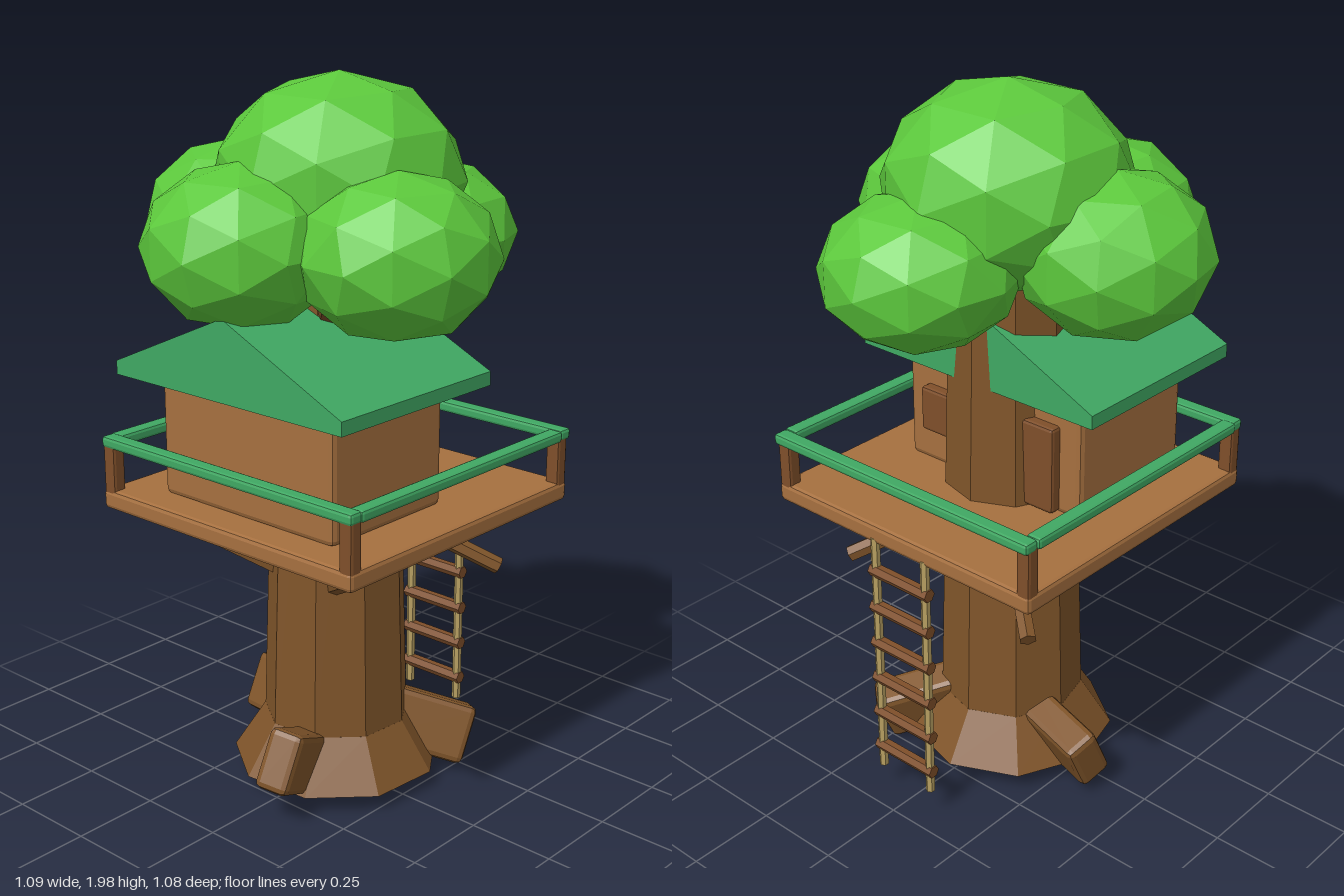
import * as THREE from 'three';
import { RoundedBoxGeometry } from 'three/addons/geometries/RoundedBoxGeometry.js';

function paint(name, color) {
  const m = new THREE.MeshStandardMaterial({ color, flatShading: true });
  m.name = name;
  return m;
}

export function createModel() {
  const bark = paint('bark brown', 0x80552a);
  const darkWood = paint('dark wood', 0x7f4f2a);
  const planks = paint('plank brown', 0xa6703f);
  const green = paint('painted green', 0x40a863);
  const leaf = paint('leaf green', 0x5cc83c);
  const rope = paint('rope tan', 0xb8a062);

  const model = new THREE.Group();
  const add = (name, geo, mat, x, y, z, parent = model) => {
    const mesh = new THREE.Mesh(geo, mat);
    mesh.name = name;
    mesh.position.set(x, y, z);
    parent.add(mesh);
    return mesh;
  };
  // box with chamfered edges
  const box = (w, h, d, bevel = 0.01) => new RoundedBoxGeometry(w, h, d, 1, bevel);
  // round bar between two points
  const bar = (name, a, b, r, sides, mat) => {
    const p = new THREE.Vector3(...a), q = new THREE.Vector3(...b);
    const dir = q.clone().sub(p);
    const mid = p.clone().add(q).multiplyScalar(0.5);
    const mesh = add(name, new THREE.CylinderGeometry(r, r, dir.length(), sides), mat, mid.x, mid.y, mid.z);
    mesh.quaternion.setFromUnitVectors(new THREE.Vector3(0, 1, 0), dir.normalize());
    return mesh;
  };

  // trunk with flared foot
  const phase = THREE.MathUtils.degToRad(-15);
  const trunk = add('trunk', new THREE.CylinderGeometry(0.165, 0.206, 1.32, 9), bark, 0, 0.86, 0);
  const foot = add('trunkFoot', new THREE.CylinderGeometry(0.206, 0.295, 0.14, 9), bark, 0, 0.138, 0);
  trunk.rotation.y = foot.rotation.y = phase;

  // three roots, all leaning the same way
  for (let i = 0; i < 3; i++) {
    const a = THREE.MathUtils.degToRad(16 + i * 120);
    const root = add('root', box(0.1, 0.17, 0.29, 0.018), bark, Math.sin(a) * 0.24, 0.15, Math.cos(a) * 0.24);
    root.rotation.set(-0.45, a, 0);
  }

  // upper branches reaching into the crown
  for (let i = 0; i < 3; i++) {
    const a = THREE.MathUtils.degToRad(40 + i * 120);
    const dir = new THREE.Vector3(Math.sin(a), 0, Math.cos(a))
      .applyAxisAngle(new THREE.Vector3(1, 0, 0), -0.55);
    const c = new THREE.Vector3(Math.sin(a) * 0.14, 1.42, Math.cos(a) * 0.14);
    const p = c.clone().addScaledVector(dir, -0.12), q = c.clone().addScaledVector(dir, 0.12);
    bar('branch', p.toArray(), q.toArray(), 0.055, 6, darkWood);
  }

  // struts below the platform
  for (const s of [-1, 1]) {
    bar('frontStrut', [s * 0.11, 0.65, 0.13], [s * 0.33, 0.785, 0.3], 0.024, 6, bark);
    bar('backStrut', [s * 0.11, 0.78, -0.13], [s * 0.33, 0.635, -0.31], 0.024, 6, bark);
  }

  // platform and railing
  add('platform', box(0.9, 0.055, 0.9, 0.012), planks, 0, 0.853, 0);
  for (const s of [-1, 1]) {
    for (const t of [-1, 1]) add('railPost', box(0.042, 0.18, 0.042, 0.009), darkWood, s * 0.427, 0.925, t * 0.427);
    add('railLong', box(0.9, 0.032, 0.045, 0.009), green, 0, 1.016, s * 0.432 - 0.004);
    add('railSide', box(0.045, 0.032, 0.83, 0.009), green, s * 0.432, 1.016, 0);
  }

  // cabin
  const cabin = new THREE.Group();
  cabin.name = 'cabin';
  model.add(cabin);
  add('walls', box(0.61, 0.335, 0.43, 0.016), planks, 0, 1.045, 0.14, cabin);
  add('door', box(0.12, 0.25, 0.04, 0.009), darkWood, -0.175, 1.01, -0.087, cabin);
  add('shutter', box(0.12, 0.13, 0.04, 0.009), darkWood, 0.175, 1.05, -0.087, cabin);

  // gable roof
  const gable = new THREE.Shape([[-0.4, 1.21], [0.4, 1.21], [0.4, 1.248], [0.01, 1.425], [-0.01, 1.425], [-0.4, 1.248]]
    .map(([x, y]) => new THREE.Vector2(x, y)));
  add('roof', new THREE.ExtrudeGeometry(gable, { depth: 0.58, bevelEnabled: false }), green, 0, 0, -0.152, cabin);

  // ladder
  for (const s of [-1, 1]) bar('ladderRope', [s * 0.09, 0.1, -0.441], [s * 0.09, 0.84, -0.441], 0.013, 6, rope);
  for (let i = 0; i < 6; i++) {
    const y = 0.168 + i * 0.114;
    bar('rung', [-0.105, y, -0.441], [0.105, y, -0.441], 0.019, 6, darkWood);
  }

  // crown of flattened leaf clumps: x, y, z, radius, height radius, turn
  const clumps = [
    [0, 1.725, -0.01, 0.335, 0.275, 0],
    [-0.293, 1.59, 0.06, 0.262, 0.218, 0.5],
    [0.293, 1.575, 0.1, 0.262, 0.215, 1.2],
    [-0.07, 1.58, 0.282, 0.262, 0.215, 0.2],
    [0.055, 1.555, -0.282, 0.262, 0.2, 0.1],
  ];
  for (const [x, y, z, r, ry, turn] of clumps) {
    const clump = add('leafClump', new THREE.IcosahedronGeometry(1, 1), leaf, x, y, z);
    clump.scale.set(r, ry, r);
    clump.rotation.y = turn;
  }
  return model;
}
